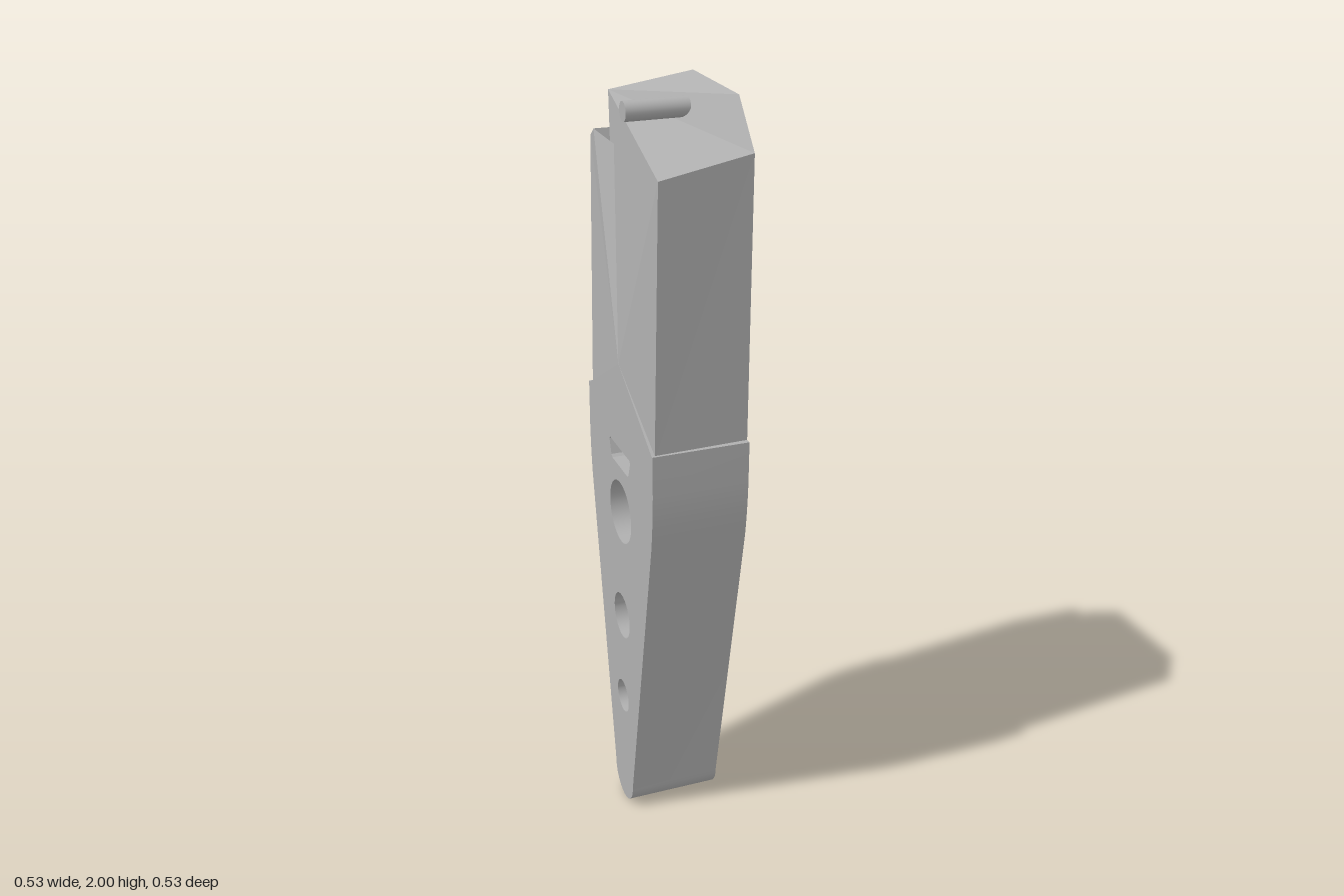
import * as THREE from 'three';
import { toCreasedNormals } from 'three/addons/utils/BufferGeometryUtils.js';

const HALF = 0.125; // half thickness of the slab

export function createModel() {
  const grey = new THREE.MeshStandardMaterial({ color: 0xb0b0b0, side: THREE.DoubleSide });
  grey.name = 'plain grey';

  const model = new THREE.Group();
  const body = new THREE.Group();
  body.name = 'slantedBody';
  body.rotation.y = -Math.PI / 4;
  model.add(body);

  const add = (name, geometry) => {
    const mesh = new THREE.Mesh(geometry, grey);
    mesh.name = name;
    body.add(mesh);
    return mesh;
  };
  const polygon = (points) => new THREE.Shape(points.map(([x, y]) => new THREE.Vector2(x, y)));
  const circle = (y, r) => new THREE.Path().absarc(0, y, r, 0, Math.PI * 2, true);

  // Tapered lower grip with a rounded foot
  const grip = new THREE.Shape();
  grip.moveTo(-0.25, 1.185);
  grip.lineTo(-0.25, 1.08);
  grip.quadraticCurveTo(-0.249, 1.0, -0.237, 0.92);
  grip.lineTo(-0.073, 0.075);
  grip.absarc(0, 0.073, 0.073, Math.PI, Math.PI * 2, false);
  grip.lineTo(0.237, 0.92);
  grip.quadraticCurveTo(0.249, 1.0, 0.25, 1.08);
  grip.lineTo(0.25, 1.185);

  // Three round holes and a slot, all cut right through
  [[0.915, 0.085], [0.6, 0.063], [0.34, 0.046]].forEach(([y, r]) => grip.holes.push(circle(y, r)));
  grip.holes.push(polygon([
    [-0.082, 1.09], [-0.076, 1.097], [0.076, 1.097], [0.082, 1.09],
    [0.068, 1.051], [0.06, 1.045], [-0.06, 1.045], [-0.068, 1.051],
  ]));
  const gripGeometry = new THREE.ExtrudeGeometry(grip, { depth: HALF * 2, bevelEnabled: false, curveSegments: 20 });
  gripGeometry.translate(0, 0, -HALF);
  add('lowerGrip', toCreasedNormals(gripGeometry, 0.5));

  // Pointed front lip above the grip
  const lip = new THREE.ExtrudeGeometry(polygon([[-0.25, 1.18], [0.25, 1.18], [0, 1.33]]), { depth: 0.01, bevelEnabled: false });
  lip.translate(0, 0, HALF - 0.01);
  add('frontLip', lip);

  // Corner points of the faceted upper block
  const p = {
    frontPeak: [0, 1.33, 0.125], frontBaseL: [0.243, 1.17, 0.117], frontBaseR: [-0.243, 1.17, 0.117],
    frontTopL: [0.245, 1.85, 0.108], headTip: [-0.233, 1.95, 0.064],
    backBaseL: [0.235, 1.17, -HALF], backBaseR: [-0.237, 1.17, -HALF],
    backTopL: [0.235, 1.89, -HALF], crestL: [0.138, 2, -HALF], crestR: [-0.15, 2, -HALF],
    headHeel: [-0.15, 1.9, -HALF], notchDeep: [0.174, 1.67, -HALF], notchLow: [-0.07, 1.385, -HALF],
    wedgeBack: [-0.212, 1.862, -HALF], wedgeFront: [-0.205, 1.865, 0.112],
    outerBack: [-0.24, 1.84, -HALF], outerFront: [-0.244, 1.84, 0.108],
  };
  const faces = [
    // front
    ['frontPeak', 'frontTopL', 'headTip'], ['frontPeak', 'frontBaseL', 'frontTopL'],
    ['frontPeak', 'wedgeFront', 'outerFront'], ['frontPeak', 'outerFront', 'frontBaseR'],
    ['frontBaseR', 'frontBaseL', 'frontPeak'],
    // ends
    ['frontBaseL', 'backBaseL', 'backTopL', 'frontTopL'],
    ['backBaseR', 'frontBaseR', 'outerFront', 'outerBack'],
    // sloping top
    ['headTip', 'frontTopL', 'backTopL'], ['headTip', 'backTopL', 'crestL'], ['headTip', 'crestL', 'crestR'],
    // overhanging head
    ['crestR', 'headHeel', 'headTip'], ['headHeel', 'notchDeep', 'headTip'], ['notchDeep', 'frontPeak', 'headTip'],
    // notch floor and wedge
    ['notchDeep', 'notchLow', 'wedgeFront'], ['notchLow', 'wedgeBack', 'wedgeFront'],
    ['notchDeep', 'wedgeFront', 'frontPeak'], ['outerFront', 'wedgeFront', 'wedgeBack', 'outerBack'],
  ];
  const positions = [];
  for (const face of faces) {
    for (let i = 1; i < face.length - 1; i++) {
      positions.push(...p[face[0]], ...p[face[i]], ...p[face[i + 1]]);
    }
  }
  const upper = new THREE.BufferGeometry();
  upper.setAttribute('position', new THREE.Float32BufferAttribute(positions, 3));
  upper.computeVertexNormals();
  add('upperBlock', upper);

  // Flat back of the upper block, with two screw openings
  const screwHeights = [1.95, 1.225];
  const back = polygon(['backBaseR', 'backBaseL', 'backTopL', 'crestL', 'crestR', 'headHeel',
    'notchDeep', 'notchLow', 'wedgeBack', 'outerBack'].map((key) => p[key]));
  screwHeights.forEach((y) => back.holes.push(circle(y, 0.036)));
  const backGeometry = new THREE.ShapeGeometry(back, 8);
  // turn the sheet to face backwards
  const order = backGeometry.index.array;
  for (let i = 0; i < order.length; i += 3) [order[i], order[i + 1]] = [order[i + 1], order[i]];
  backGeometry.translate(0, 0, -HALF);
  backGeometry.computeVertexNormals();
  add('upperBack', backGeometry);

  // Stepped screw recesses
  const profile = [[0.036, 0], [0.031, 0.022], [0.017, 0.022], [0.017, 0.05], [0, 0.05]]
    .map(([r, d]) => new THREE.Vector2(r, d));
  for (const y of screwHeights) {
    const recess = add('screwRecess', toCreasedNormals(new THREE.LatheGeometry(profile, 16), 0.5));
    recess.rotation.x = Math.PI / 2;
    recess.position.set(0, y, -HALF);
  }

  // Round pin sticking out of the sloping top
  const pin = add('topPin', new THREE.CylinderGeometry(0.024, 0.024, 0.16, 24));
  pin.rotation.x = Math.PI / 2;
  pin.position.set(0, 1.95, 0.026);

  return model;
}
